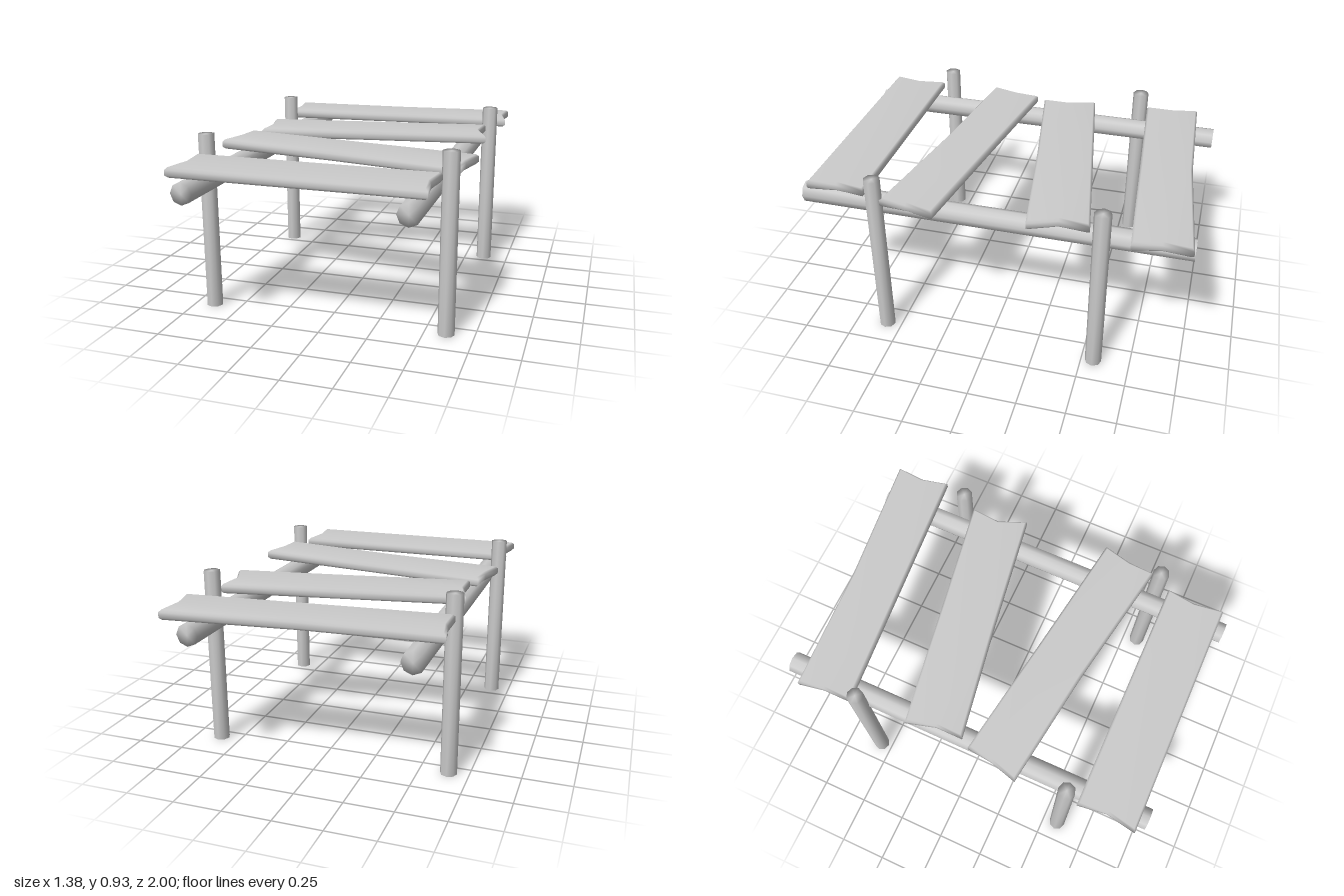
import * as THREE from 'three';
import { mergeVertices } from 'three/addons/utils/BufferGeometryUtils.js';

const material = new THREE.MeshStandardMaterial({ color: 0xcccccc });

// Weld the corners so that shading runs smoothly over the edges.
function weld(geometry) {
  geometry.deleteAttribute('normal');
  geometry.deleteAttribute('uv');
  const welded = mergeVertices(geometry, 1e-4);
  welded.computeVertexNormals();
  return welded;
}

function addMesh(group, name, geometry) {
  const mesh = new THREE.Mesh(geometry, material);
  mesh.name = name;
  group.add(mesh);
  return mesh;
}

// Plank cut from an (x, z) outline, with a small bevel all round.
function plankGeometry(outline) {
  const top = 0.843, bottom = 0.792, bevel = 0.012;
  const shape = new THREE.Shape(outline.map(([x, z]) => new THREE.Vector2(x, z)));
  const geometry = new THREE.ExtrudeGeometry(shape, {
    depth: top - bottom - 2 * bevel,
    bevelThickness: bevel, bevelSize: bevel, bevelOffset: -bevel, bevelSegments: 1,
  });
  geometry.rotateX(Math.PI / 2);
  geometry.translate(0, top - bevel, 0);
  return weld(geometry);
}

export function createModel() {
  const group = new THREE.Group();
  group.name = 'plankWalkway';

  // Four upright posts
  const postHeight = 0.93;
  const postGeometry = weld(new THREE.CylinderGeometry(0.043, 0.043, postHeight, 8));
  for (const x of [-0.648, 0.61]) {
    for (const z of [0.58, -0.563]) {
      const name = (z > 0 ? 'front' : 'back') + (x > 0 ? 'Left' : 'Right') + 'Post';
      addMesh(group, name, postGeometry).position.set(x, postHeight / 2, z);
    }
  }

  // Two long logs carrying the planks
  const railGeometry = weld(new THREE.CylinderGeometry(0.056, 0.056, 2, 8).rotateX(Math.PI / 2));
  addMesh(group, 'rightRail', railGeometry).position.set(-0.572, 0.735, 0);
  addMesh(group, 'leftRail', railGeometry).position.set(0.514, 0.735, 0);

  // Crooked planks with notched ends, front to back
  const outlines = [
    [[-0.67, 0.648], [0.585, 0.648], [0.565, 0.8], [0.585, 0.955], [-0.678, 0.955], [-0.65, 0.8]],
    [[-0.635, 0.045], [0, 0.145], [0.685, 0.25], [0.648, 0.4], [0.64, 0.538],
      [-0.05, 0.415], [-0.69, 0.325], [-0.65, 0.18]],
    [[-0.645, -0.3], [0, -0.407], [0.597, -0.505], [0.585, -0.35], [0.645, -0.204],
      [0, -0.105], [-0.602, -0.003], [-0.602, -0.146]],
    [[-0.687, -0.892], [-0.02, -0.925], [0.662, -0.995], [0.65, -0.85], [0.682, -0.708],
      [0, -0.655], [-0.662, -0.604], [-0.662, -0.755]],
  ];
  outlines.forEach((outline, i) => addMesh(group, `plank${i + 1}`, plankGeometry(outline)));

  return group;
}
